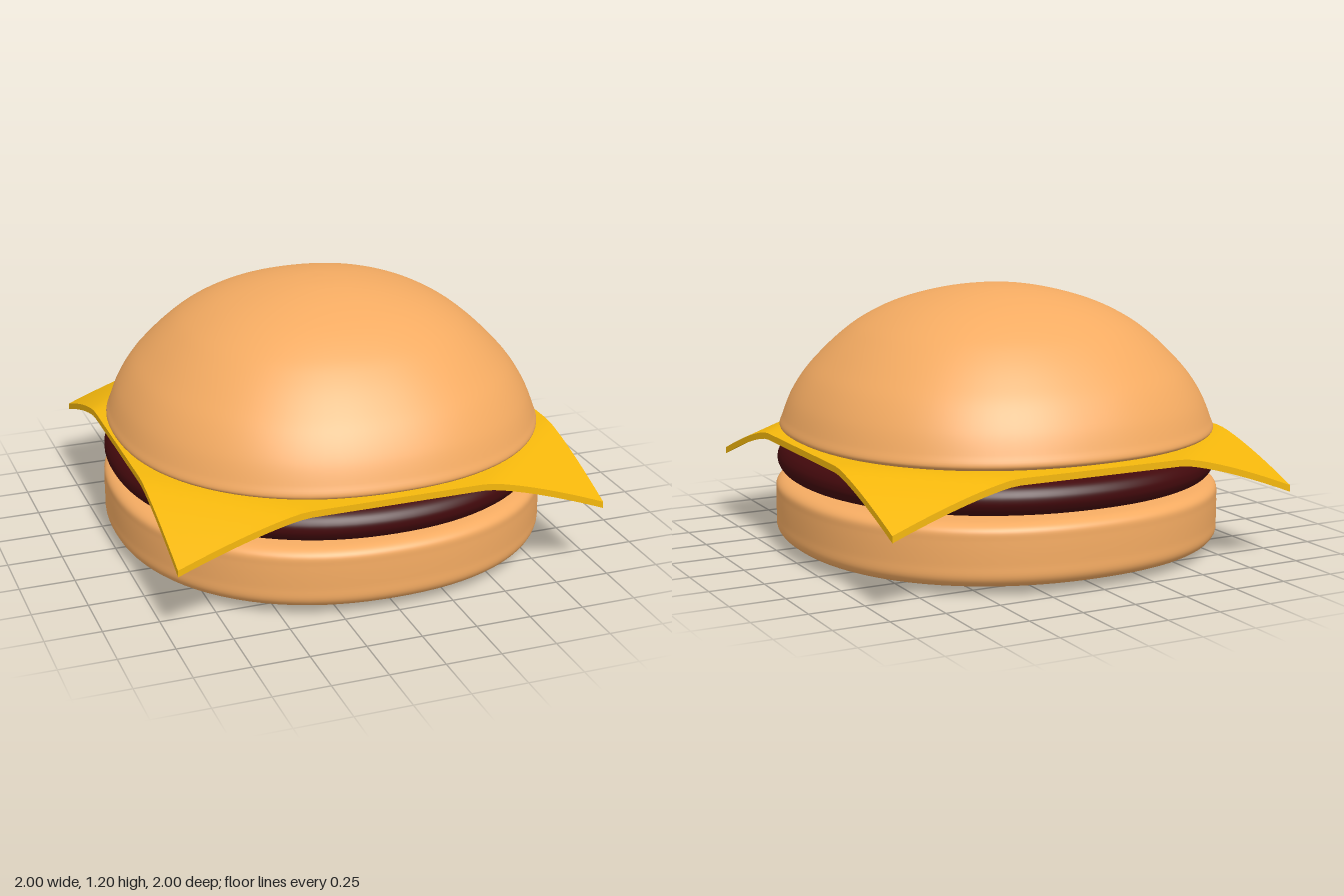
import * as THREE from 'three';
import { mergeVertices } from 'three/addons/utils/BufferGeometryUtils.js';

const mat = (color) => new THREE.MeshStandardMaterial({ color });

// Weld and smooth a geometry after its vertices were moved
function smooth(geo) {
  geo.deleteAttribute('uv');
  geo.deleteAttribute('normal');
  const out = mergeVertices(geo, 1e-4);
  out.computeVertexNormals();
  return out;
}

// Solid of revolution with a slightly squared-off round plan
function softRound(name, material, profile, power = 2.2) {
  const curve = new THREE.CatmullRomCurve3(
    profile.map(([r, y]) => new THREE.Vector3(r, y, 0)), false, 'centripetal');
  const pts = curve.getPoints(profile.length * 5)
    .map((p) => new THREE.Vector2(Math.max(p.x, 0), p.y));
  const geo = new THREE.LatheGeometry(pts, 96);
  const pos = geo.attributes.position;
  for (let i = 0; i < pos.count; i++) {
    const x = pos.getX(i), z = pos.getZ(i), r = Math.hypot(x, z);
    if (r < 1e-5) continue;
    const k = (Math.abs(x / r) ** power + Math.abs(z / r) ** power) ** (-1 / power);
    pos.setX(i, x * k);
    pos.setZ(i, z * k);
  }
  const mesh = new THREE.Mesh(smooth(geo), material);
  mesh.name = name;
  return mesh;
}

// Square slice whose corners droop
function cheeseSlice(material) {
  const half = 0.975, n = 40;
  const bend = (geo) => {
    const pos = geo.attributes.position;
    for (let i = 0; i < pos.count; i++) {
      const s = Math.abs(pos.getX(i)) + Math.abs(pos.getZ(i));
      const t = Math.max(0, (s - 1.38) / (2 * half - 1.38));
      pos.setY(i, pos.getY(i) - 0.175 * t ** 1.3);
    }
    geo.computeVertexNormals();
    return geo;
  };
  const geo = new THREE.BoxGeometry(half * 2, 0.03, half * 2, n, 1, n);
  geo.translate(0, 0.505, 0);
  const mesh = new THREE.Mesh(bend(geo), material);
  mesh.name = 'cheese';
  return mesh;
}

export function createModel() {
  const model = new THREE.Group();
  model.name = 'cheeseburger';
  const bread = mat(0xf4ab62);

  model.add(softRound('bottomBun', bread, [
    [0, 0], [0.4, 0.006], [0.75, 0.015], [0.9, 0.028], [0.97, 0.047], [0.997, 0.08],
    [1, 0.14], [1, 0.24], [0.996, 0.285], [0.97, 0.308], [0.9, 0.32], [0.6, 0.325], [0, 0.325],
  ]));

  model.add(softRound('patty', mat(0x42090c), [
    [0, 0.32], [0.7, 0.322], [0.9, 0.33], [0.97, 0.352], [0.994, 0.385], [0.998, 0.405],
    [0.994, 0.43], [0.97, 0.46], [0.9, 0.482], [0.7, 0.49], [0, 0.49],
  ], 2.12));

  model.add(cheeseSlice(mat(0xf5b80c)));

  model.add(softRound('topBun', bread, [
    [0, 0.515], [0.6, 0.518], [0.86, 0.525], [0.95, 0.535], [0.978, 0.553], [0.965, 0.6],
    [0.93, 0.69], [0.87, 0.79], [0.8, 0.872], [0.71, 0.96], [0.62, 1.03], [0.48, 1.105],
    [0.3, 1.163], [0.13, 1.193], [0, 1.2],
  ]));

  return model;
}
